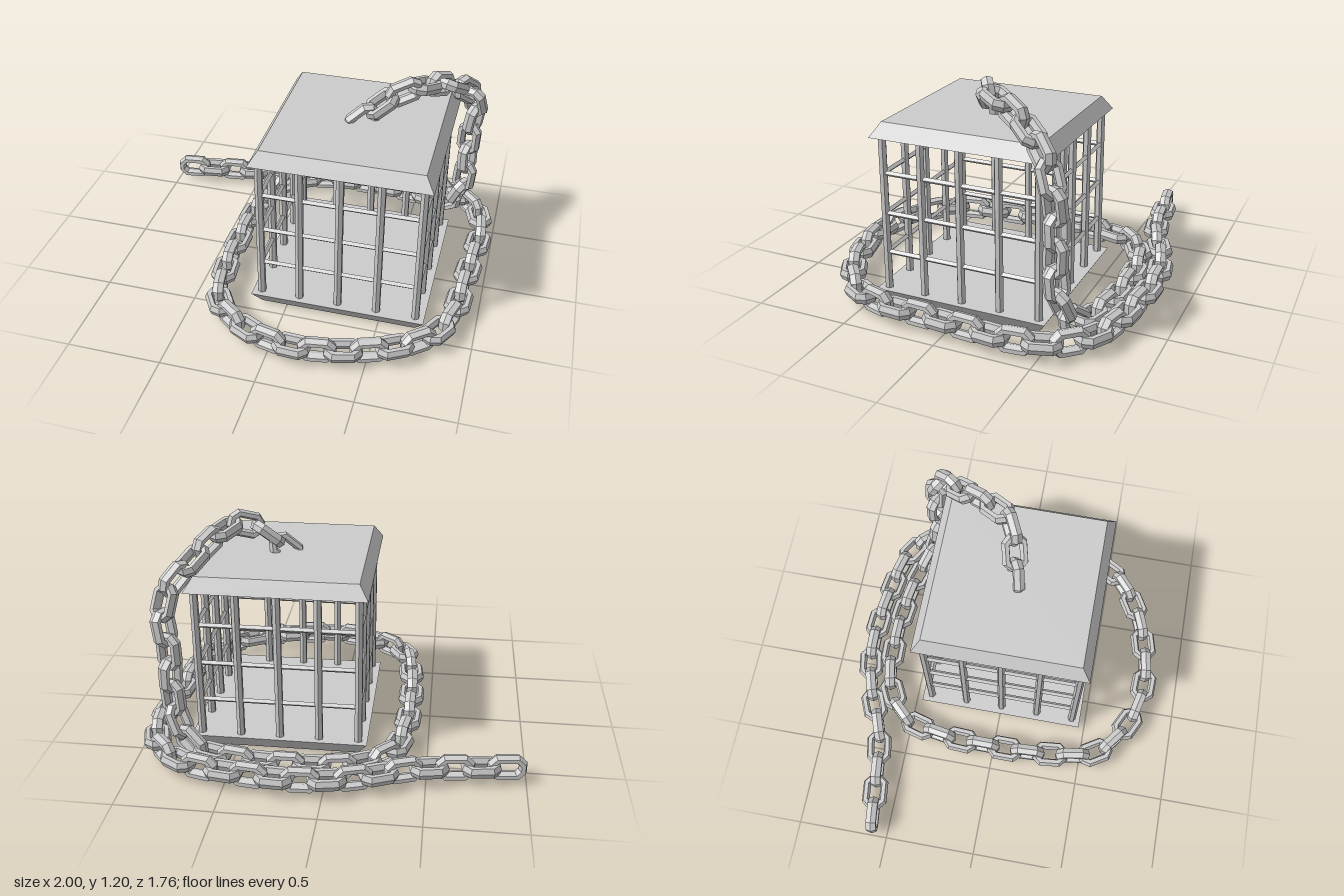
import * as THREE from 'three';

const mat = new THREE.MeshStandardMaterial({ color: 0xcccccc, flatShading: true });
const CX = 0.277, CZ = 0.004;   // cage centre
const HALF = 0.415;             // post line, measured from the cage centre
const TOP = 0.965, SLAB = 0.075;

function add(parent, name, geo, x, y, z) {
  const mesh = new THREE.Mesh(geo, mat);
  mesh.name = name;
  mesh.position.set(x, y, z);
  parent.add(mesh);
  return mesh;
}

// Square slab with sloping sides
function slab(topWidth, bottomWidth) {
  return new THREE.CylinderGeometry(topWidth / Math.SQRT2, bottomWidth / Math.SQRT2, SLAB, 4)
    .rotateY(Math.PI / 4);
}

function buildCage() {
  const cage = new THREE.Group();
  cage.name = 'cage';
  cage.position.set(CX, 0, CZ);
  add(cage, 'base', slab(0.925, 0.83), 0, SLAB / 2, 0);
  add(cage, 'roof', slab(0.83, 0.925), 0, TOP - SLAB / 2, 0);

  // Upright bars around the edge
  const height = TOP - 2 * SLAB + 0.02;
  const post = new THREE.CylinderGeometry(0.022, 0.022, height, 6);
  const step = HALF / 2;
  for (let i = -2; i <= 2; i++) {
    for (let j = -2; j <= 2; j++) {
      if (Math.max(Math.abs(i), Math.abs(j)) === 2) add(cage, 'post', post, i * step, TOP / 2, j * step);
    }
  }

  // Three levels of crossbars on each side
  const rail = new THREE.CylinderGeometry(0.014, 0.014, 2 * HALF, 4);
  const railX = rail.clone().rotateZ(Math.PI / 2);
  const railZ = rail.clone().rotateX(Math.PI / 2);
  for (const y of [0.275, 0.487, 0.7]) {
    for (const s of [-1, 1]) {
      add(cage, 'crossbar', railX, 0, y, s * HALF);
      add(cage, 'crossbar', railZ, s * HALF, y, 0);
    }
  }
  return cage;
}

// Eight-sided link: a torus split at the middle and pulled apart along x
function linkGeometry() {
  const geo = new THREE.TorusGeometry(0.052, 0.023, 6, 8).rotateZ(Math.PI / 8);
  const p = geo.attributes.position;
  for (let i = 0; i < p.count; i++) {
    p.setX(i, p.getX(i) + Math.sign(p.getX(i)) * 0.03);
    p.setZ(i, p.getZ(i) * 1.4);
  }
  geo.computeVertexNormals();
  return geo;
}

// Chain path from the free end, round the cage on the ground, up and onto the roof
const ground = [
  [-0.9, -0.59], [-0.7, -0.615], [-0.55, -0.635], [-0.4, -0.67], [-0.22, -0.745], [0, -0.805],
  [0.2, -0.815], [0.45, -0.79], [0.7, -0.735], [0.87, -0.6], [0.93, -0.4], [0.92, -0.15],
  [0.9, 0.1], [0.88, 0.35], [0.79, 0.55], [0.6, 0.69], [0.35, 0.775], [0.12, 0.8],
  [-0.12, 0.74], [-0.32, 0.58], [-0.38, 0.3], [-0.39, 0], [-0.375, -0.3], [-0.31, -0.53],
  [-0.12, -0.66], [0.2, -0.69], [0.5, -0.66],
].map(([x, z]) => new THREE.Vector3(x, 0.09, z));
const rise = [
  [0.68, 0.11, -0.61], [0.77, 0.22, -0.56], [0.8, 0.4, -0.54], [0.8, 0.62, -0.54], [0.82, 0.8, -0.53],
  [0.79, 0.93, -0.48], [0.7, 1.03, -0.36], [0.62, 1.1, -0.22], [0.52, 1.13, -0.08],
  [0.41, 1.08, -0.03], [0.29, 0.97, 0],
].map((p) => new THREE.Vector3(...p));

function buildChain() {
  const chain = new THREE.Group();
  chain.name = 'chain';
  const path = new THREE.CatmullRomCurve3([...ground, ...rise]);
  path.arcLengthDivisions = 800;
  const count = Math.round(path.getLength() / 0.13);
  const geo = linkGeometry();
  const normal = new THREE.Vector3(0, 1, 0);
  const frame = new THREE.Matrix4();
  for (let i = 0; i <= count; i++) {
    const u = i / count;
    const t = path.getTangentAt(u);
    // Carry the normal along the path so the links do not twist
    normal.addScaledVector(t, -normal.dot(t)).normalize();
    const side = new THREE.Vector3().crossVectors(t, normal);
    const p = path.getPointAt(u);
    const link = add(chain, 'chainLink', geo, p.x, p.y, p.z);
    link.quaternion.setFromRotationMatrix(frame.makeBasis(t, normal, side));
    if (i % 2) link.rotateX(Math.PI / 2);
  }
  return chain;
}

export function createModel() {
  const model = new THREE.Group();
  model.name = 'cageWithChain';
  model.add(buildCage(), buildChain());
  return model;
}
